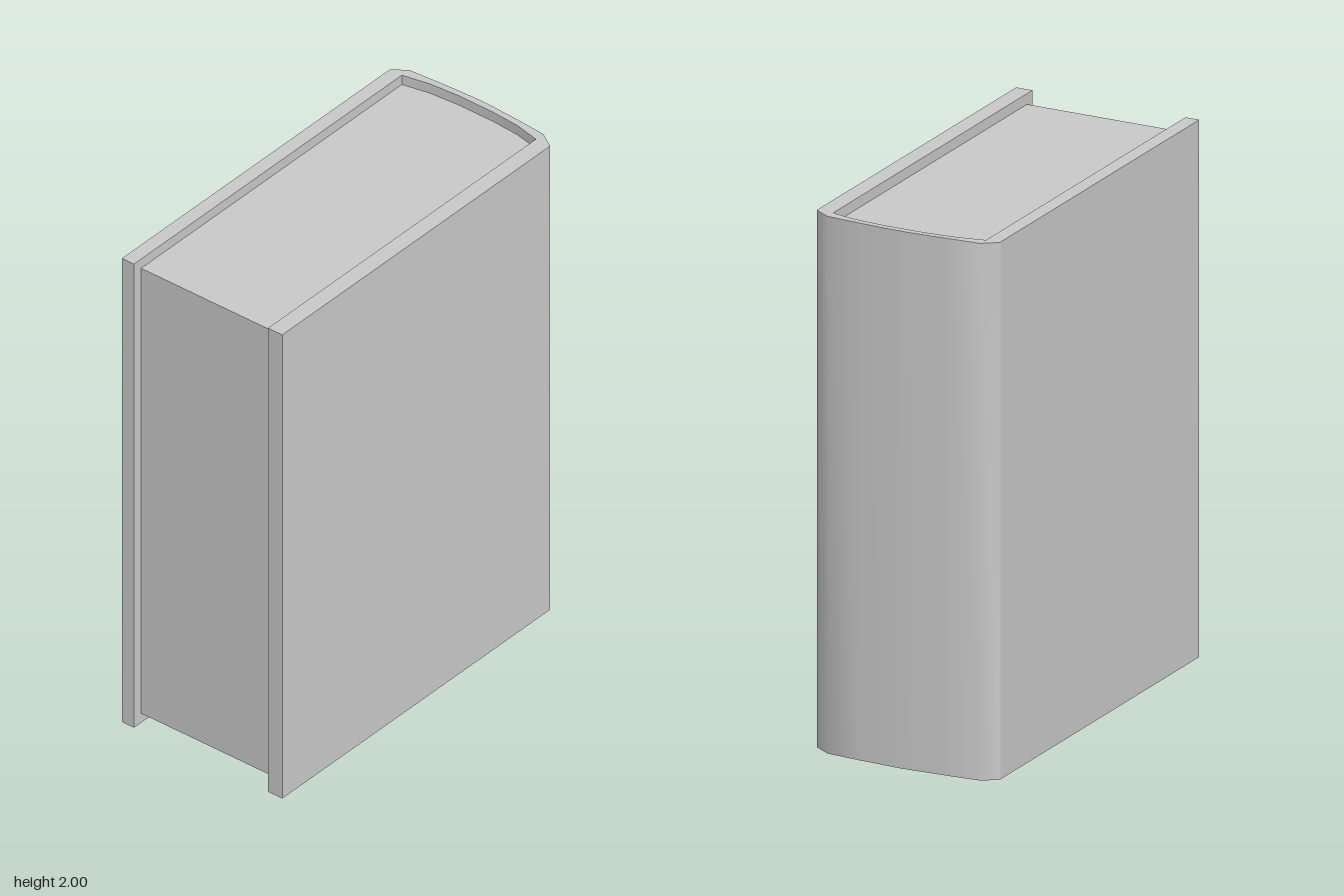
import * as THREE from 'three';
import { toCreasedNormals } from 'three/addons/utils/BufferGeometryUtils.js';

const material = new THREE.MeshStandardMaterial({ color: 0xcccccc });

// Extrudes an outline of [x, z] points upwards from y = bottom.
function prism(name, outline, bottom, height) {
  const shape = new THREE.Shape(outline.map(([x, z]) => new THREE.Vector2(x, -z)));
  const geometry = new THREE.ExtrudeGeometry(shape, { depth: height, bevelEnabled: false });
  geometry.rotateX(-Math.PI / 2);
  geometry.translate(0, bottom, 0);
  const mesh = new THREE.Mesh(toCreasedNormals(geometry, 1.0), material);
  mesh.name = name;
  return mesh;
}

export function createModel() {
  const book = new THREE.Group();
  book.name = 'book';

  const foreEdge = -0.77;
  const overhang = 0.04;

  // Rounded inside of the spine, back to front
  const innerSpine = [
    [0.712, -0.31], [0.734, -0.2], [0.743, -0.08],
    [0.743, 0.08], [0.734, 0.2], [0.712, 0.3],
  ];
  // Rounded outside of the spine, back to front; the first and last points keep the boards flat
  const outerSpine = [
    [0.7, -0.365], [0.712, -0.365], [0.753, -0.31], [0.763, -0.17], [0.77, -0.03],
    [0.77, 0.03], [0.763, 0.17], [0.753, 0.3], [0.712, 0.365], [0.7, 0.365],
  ];

  // Cover: two boards joined by the curved spine, open at the fore edge
  const cover = [
    [foreEdge, -0.365], ...outerSpine, [foreEdge, 0.365],
    [foreEdge, 0.3], ...[...innerSpine].reverse(), [foreEdge, -0.31],
  ];
  book.add(prism('cover', cover, 0, 2));

  // Page block, set back from the cover on its three open sides
  const pages = [[foreEdge + overhang, -0.31], ...innerSpine, [foreEdge + overhang, 0.3]];
  book.add(prism('pageBlock', pages, overhang, 2 - 2 * overhang));

  return book;
}
